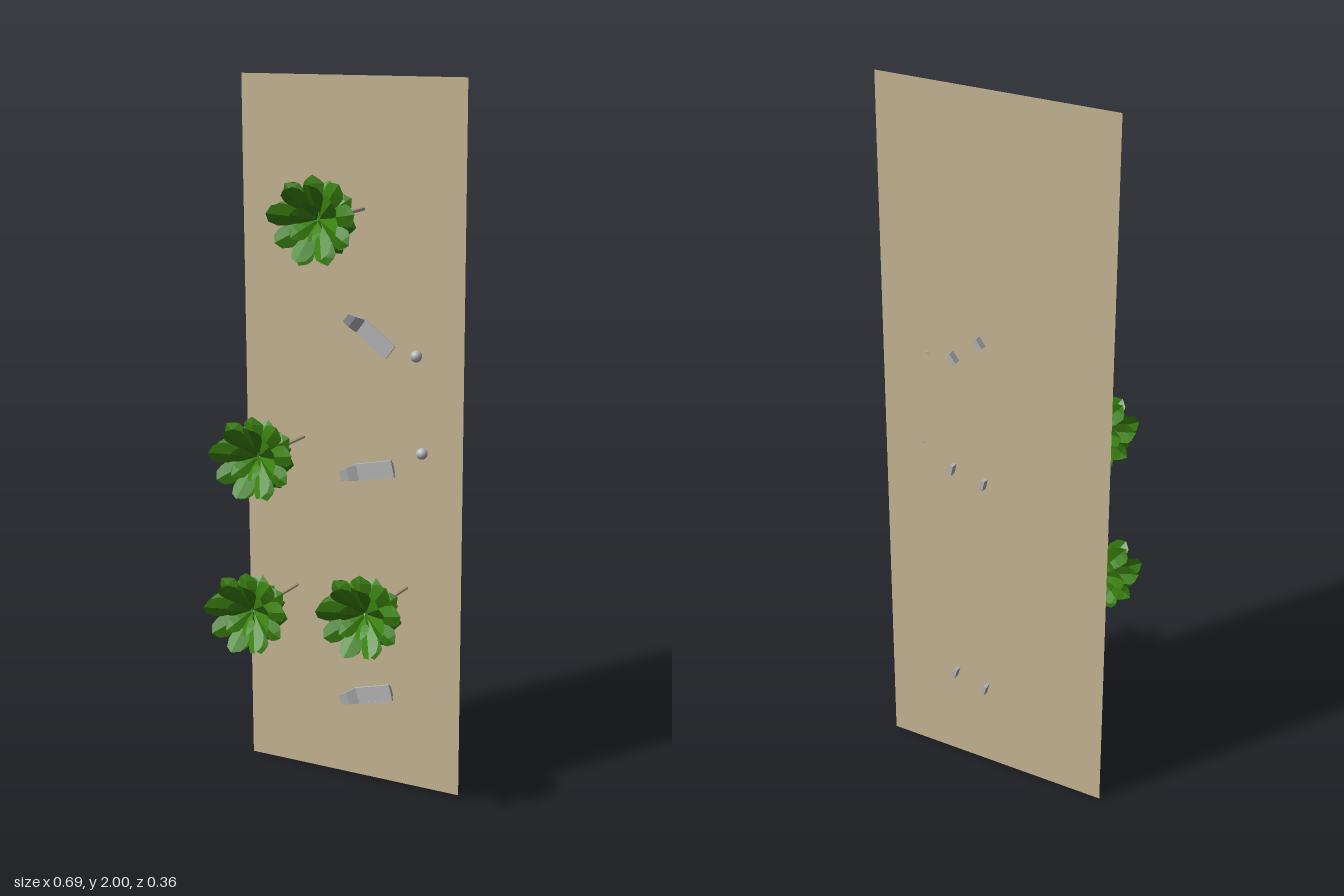
import * as THREE from 'three';
import { mergeGeometries } from 'three/addons/utils/BufferGeometryUtils.js';

const mat = (name, color, extra = {}) => {
  const m = new THREE.MeshStandardMaterial({ color, ...extra });
  m.name = name;
  return m;
};

// One broad folded leaf: cross-sections swept along a curve in the (radius, z) plane
function leafGeometry(ctrl, tip, width, angle) {
  const curve = new THREE.QuadraticBezierCurve(
    new THREE.Vector2(0.004, 0.085), new THREE.Vector2(...ctrl), new THREE.Vector2(...tip));
  const widths = [0.2, 0.62, 0.92, 1, 0.72];
  const pos = [], index = [];
  widths.forEach((w, i) => {
    const t = i / (widths.length - 1);
    const p = curve.getPoint(t), d = curve.getTangent(t);
    const half = (w * width) / 2, fold = half * 0.3;
    for (const s of [-1, 0, 1]) {
      // edges drop away from the midrib, and lag behind it at the tip
      const lag = s && i === widths.length - 1 ? 0.012 : 0;
      const drop = s ? fold : 0;
      const r = p.x + d.y * drop - d.x * lag;
      const z = p.y - d.x * drop - d.y * lag;
      pos.push(r, s * half, z);
    }
    if (i) for (const s of [0, 1]) {
      const a = (i - 1) * 3 + s, b = a + 3;
      index.push(a, b, b + 1, a, b + 1, a + 1);
    }
  });
  const g = new THREE.BufferGeometry();
  g.setAttribute('position', new THREE.Float32BufferAttribute(pos, 3));
  g.setIndex(index);
  g.rotateZ(angle);
  const flat = g.toNonIndexed();
  flat.computeVertexNormals();
  return flat;
}

// Crown: rings of leaves from the raised front ring to the drooping back ring
function crownGeometry() {
  const rings = [
    { n: 5, ctrl: [0.012, 0.125], tip: [0.05, 0.165], width: 0.045 },
    { n: 8, ctrl: [0.045, 0.125], tip: [0.1, 0.172], width: 0.058 },
    { n: 9, ctrl: [0.075, 0.12], tip: [0.12, 0.115], width: 0.058 },
    { n: 8, ctrl: [0.075, 0.095], tip: [0.1, 0.06], width: 0.058 },
    { n: 7, ctrl: [0.035, 0.085], tip: [0.066, 0.018], width: 0.045 },
  ];
  const leaves = [];
  rings.forEach(({ n, ctrl, tip, width }, k) => {
    for (let i = 0; i < n; i++) {
      const wobble = 0.004 * Math.sin(i * 2.3 + k);
      leaves.push(leafGeometry(ctrl, [tip[0] + wobble, tip[1] + wobble], width,
        ((i + k * 0.5) / n) * Math.PI * 2 + 0.2));
    }
  });
  return mergeGeometries(leaves);
}

export function createModel() {
  const sand = mat('sand', 0xc9b795, { side: THREE.DoubleSide });
  const leaf = mat('leaf green', 0x3c8410, { side: THREE.DoubleSide });
  const bark = mat('bark', 0xb9a688);
  const grey = mat('grey', 0xb4b6b8);
  bark.flatShading = true;

  const root = new THREE.Group();
  root.name = 'beach';
  const add = (parent, name, geo, material, x = 0, y = 0, z = 0) => {
    const m = new THREE.Mesh(geo, material);
    m.name = name;
    m.position.set(x, y, z);
    parent.add(m);
    return m;
  };
  const group = (name, x, y) => {
    const g = new THREE.Group();
    g.name = name;
    g.position.set(x, y, 0);
    root.add(g);
    return g;
  };

  // Sand sheet
  const sheet = new THREE.Shape([[-0.33, 0], [0.34, 0.01], [0.325, 2], [-0.345, 1.993]]
    .map(([x, y]) => new THREE.Vector2(x, y)));
  add(root, 'sandSheet', new THREE.ShapeGeometry(sheet), sand, 0, 0, -0.165);

  // Palms
  const crown = crownGeometry();
  const trunk = new THREE.CylinderGeometry(0.004, 0.006, 0.25, 6, 4);
  trunk.rotateX(Math.PI / 2);
  trunk.translate(0, 0, -0.032);
  [[0.027, 1.65], [-0.157, 1], [-0.18, 0.557], [0.168, 0.607]].forEach(([x, y]) => {
    const palm = group('palm', x, y);
    add(palm, 'palmTrunk', trunk, bark, 0.005, 0, 0);
    add(palm, 'palmCrown', crown, leaf);
  });

  // Sun loungers: side profile extruded over the width, the back rest narrowing to the head
  const profile = new THREE.Shape([
    [0.06, -0.151], [0.06, -0.145], [-0.05, -0.145], [-0.072, -0.128], [-0.092, -0.12],
    [-0.094, -0.125], [-0.078, -0.137], [-0.053, -0.151],
  ].map(([u, z]) => new THREE.Vector2(u, z)));
  const bed = new THREE.ExtrudeGeometry(profile, { depth: 0.046, bevelEnabled: false });
  bed.translate(0, 0, -0.023);
  bed.rotateX(Math.PI / 2);
  const p = bed.attributes.position;
  for (let i = 0; i < p.count; i++) {
    const k = Math.max(0, Math.min(1, (-0.053 - p.getX(i)) / 0.04));
    p.setY(i, p.getY(i) * (1 - 0.4 * k));
  }
  bed.computeVertexNormals();
  const leg = new THREE.BoxGeometry(0.01, 0.03, 0.036);
  const rail = new THREE.BoxGeometry(0.112, 0.004, 0.008);
  [[0.073, 1.304, -0.64], [0.074, 0.933, 0.22], [0.076, 0.271, 0.27]].forEach(([x, y, turn]) => {
    const lounger = group('lounger', x, y);
    lounger.rotation.z = turn;
    add(lounger, 'loungerBed', bed, grey);
    for (const u of [-0.048, 0.05]) add(lounger, 'loungerLeg', leg, grey, u, 0, -0.167);
    for (const s of [-1, 1]) add(lounger, 'loungerRail', rail, grey, 0.003, s * 0.022, -0.148);
  });

  // Beach balls
  const ball = new THREE.SphereGeometry(0.016, 20, 14);
  [[0.197, 1.267], [0.218, 1]].forEach(([x, y]) => add(root, 'beachBall', ball, grey, x, y, -0.15));

  return root;
}
